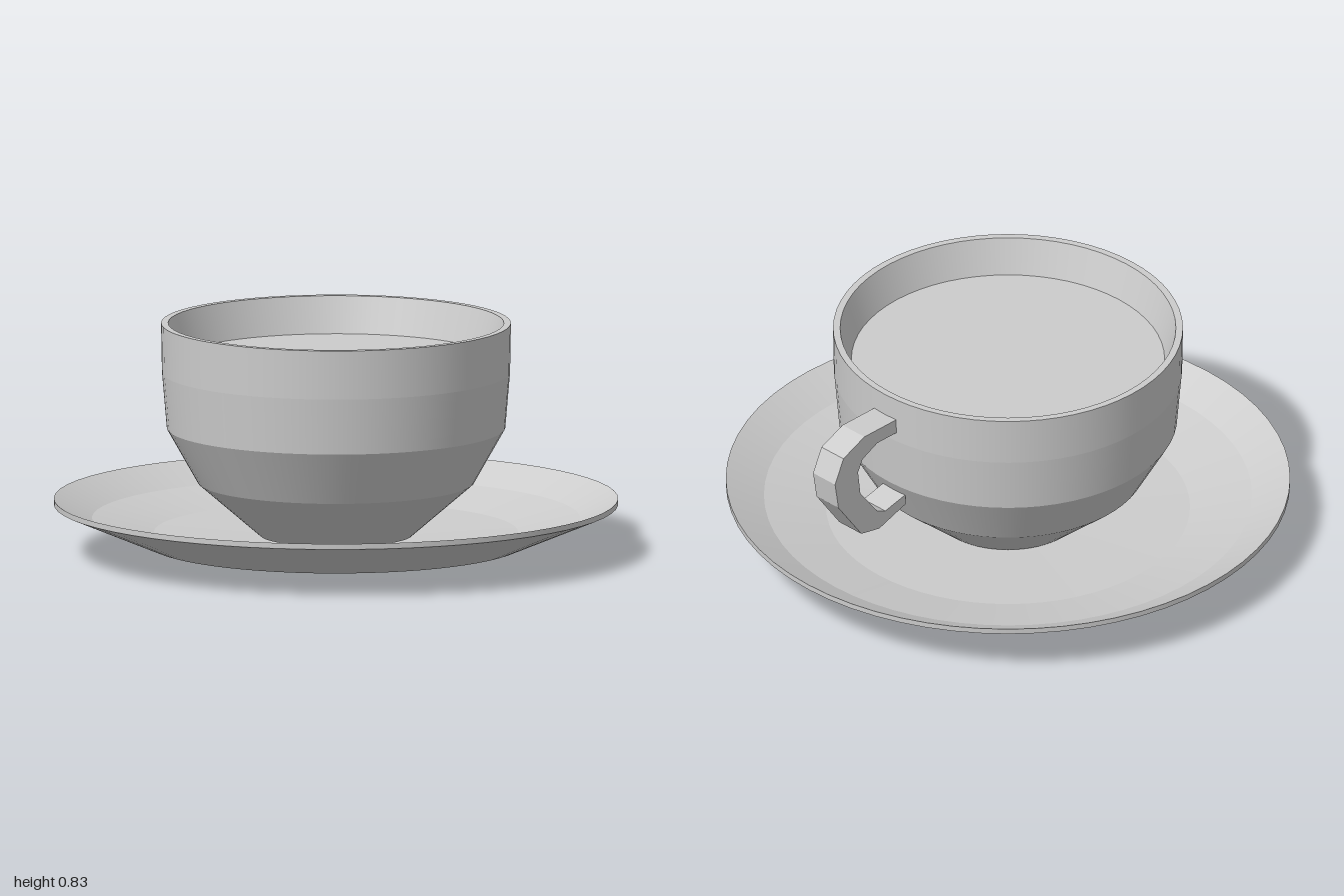
import * as THREE from 'three';
import { mergeGeometries } from 'three/addons/utils/BufferGeometryUtils.js';

const SEGMENTS = 64;

// Lathe with a crisp edge at every profile point, smooth around the axis
function bandedLathe(profile) {
  const pts = profile.map(([r, y]) => new THREE.Vector2(r, y));
  const bands = [];
  for (let i = 0; i < pts.length - 1; i++) {
    bands.push(new THREE.LatheGeometry([pts[i], pts[i + 1]], SEGMENTS));
  }
  return mergeGeometries(bands);
}

export function createModel() {
  const group = new THREE.Group();
  const ceramic = new THREE.MeshStandardMaterial({ color: 0xcccccc });
  ceramic.name = 'light grey ceramic';

  const add = (name, geometry) => {
    const mesh = new THREE.Mesh(geometry, ceramic);
    mesh.name = name;
    group.add(mesh);
    return mesh;
  };

  // Saucer: underside, thin rim, then the dished top
  add('saucer', bandedLathe([
    [0, 0], [0.29, 0.008], [0.67, 0.04], [1, 0.18], [1, 0.2],
    [0.865, 0.13], [0.645, 0.08], [0.28, 0.065], [0, 0.06],
  ]));

  // Cup: foot, tapered bowl, straight wall, flat lip and inner wall
  add('cup', bandedLathe([
    [0, 0.07], [0.27, 0.07], [0.49, 0.26], [0.6, 0.455], [0.617, 0.655],
    [0.62, 0.83], [0.595, 0.83], [0.555, 0.7],
  ]));

  // Drink surface
  const drink = add('drink', new THREE.CircleGeometry(0.556, SEGMENTS).rotateX(-Math.PI / 2));
  drink.position.y = 0.7;

  // Handle: angular hook outline (distance behind the axis, height)
  const outline = [
    [0.605, 0.745], [0.775, 0.745], [0.88, 0.7], [0.922, 0.61], [0.905, 0.505],
    [0.79, 0.345], [0.7, 0.327], [0.57, 0.37], [0.57, 0.41], [0.67, 0.387],
    [0.71, 0.405], [0.795, 0.515], [0.807, 0.61], [0.785, 0.655], [0.71, 0.69],
    [0.605, 0.69],
  ];
  const shape = new THREE.Shape(outline.map(([d, y]) => new THREE.Vector2(d, y)));
  const width = 0.11;
  const handle = new THREE.ExtrudeGeometry(shape, { depth: width, bevelEnabled: false });
  handle.translate(0, 0, -width / 2).rotateY(Math.PI / 2);
  add('handle', handle);

  return group;
}
